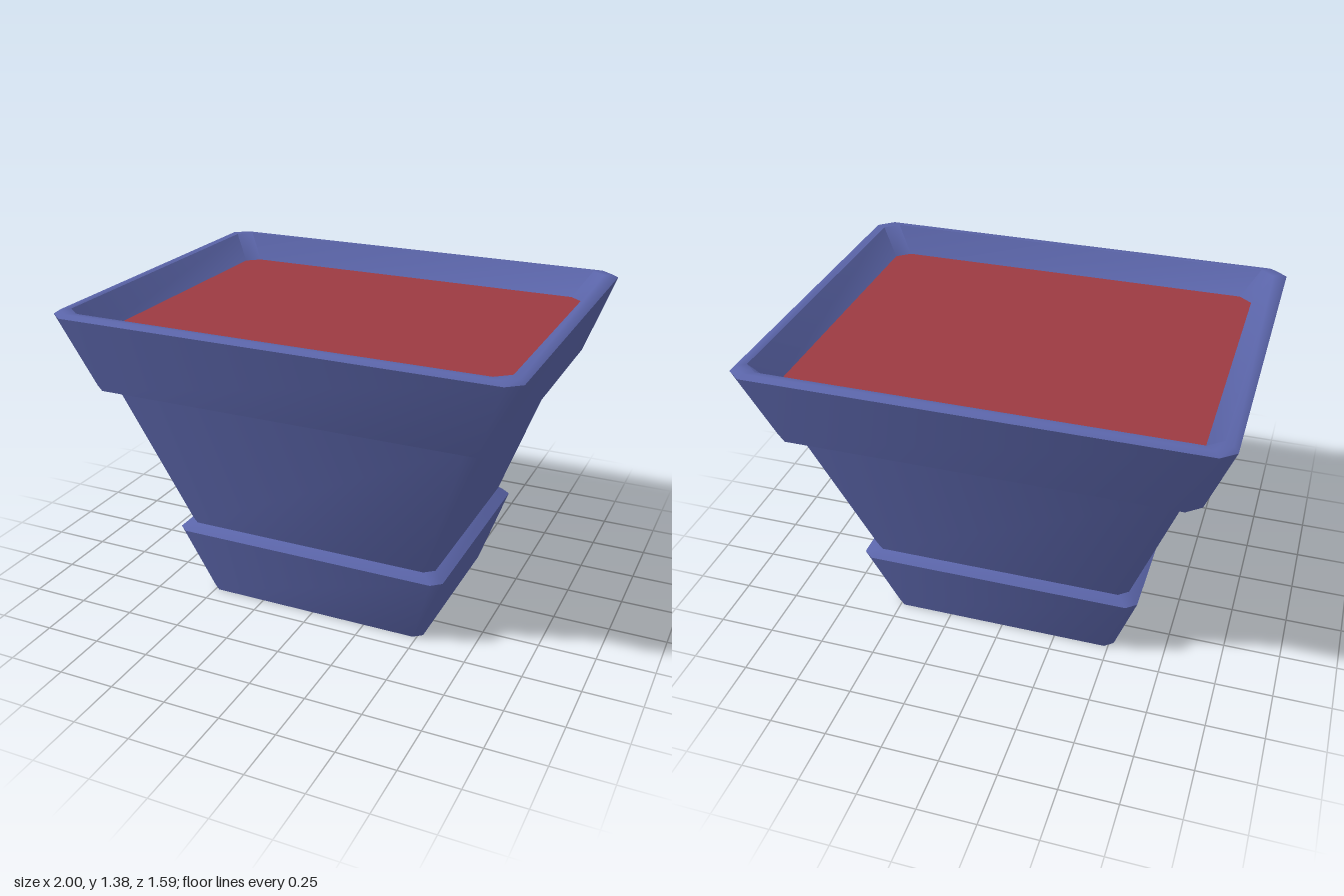
import * as THREE from 'three';
import { toCreasedNormals } from 'three/addons/utils/BufferGeometryUtils.js';

// Rectangle outline with cut corners, half sizes hx and hz, at height y
function ring([hx, hz, y]) {
  const cx = 0.06 * Math.min(1, hx + 0.1), cz = 0.05 * Math.min(1, hx + 0.1);
  return [
    [hx, hz - cz], [hx, -hz + cz], [hx - cx, -hz], [-hx + cx, -hz],
    [-hx, -hz + cz], [-hx, hz - cz], [-hx + cx, hz], [hx - cx, hz],
  ].map(([x, z]) => [x, y, z]);
}

// Skin a list of outlines, outside going up
function loft(sections) {
  const rings = sections.map(ring), pos = [];
  for (let i = 0; i < rings.length - 1; i++) {
    for (let j = 0; j < 8; j++) {
      const k = (j + 1) % 8;
      const a = rings[i][j], b = rings[i][k], c = rings[i + 1][k], d = rings[i + 1][j];
      pos.push(...a, ...b, ...c, ...a, ...c, ...d);
    }
  }
  const g = new THREE.BufferGeometry();
  g.setAttribute('position', new THREE.Float32BufferAttribute(pos, 3));
  return toCreasedNormals(g, THREE.MathUtils.degToRad(55));
}

// Flat panel filling one outline, facing up or down
function panel(section, up) {
  const shape = new THREE.Shape(ring(section).map(([x, , z]) => new THREE.Vector2(x, z)));
  const g = new THREE.ShapeGeometry(shape);
  g.rotateX(up ? -Math.PI / 2 : Math.PI / 2);
  g.translate(0, section[2], 0);
  return g;
}

export function createModel() {
  const group = new THREE.Group();
  const potMat = new THREE.MeshStandardMaterial({ color: 0x5a64a8, side: THREE.DoubleSide });
  const soilMat = new THREE.MeshStandardMaterial({ color: 0x9c3a42 });
  const add = (name, geometry, material) => {
    const mesh = new THREE.Mesh(geometry, material);
    mesh.name = name;
    group.add(mesh);
  };

  // Foot band with a bevelled top and a shallow recess underneath
  add('foot', loft([
    [0.5, 0.39, 0.06], [0.52, 0.41, 0], [0.63, 0.5, 0.33], [0.585, 0.465, 0.365],
  ]), potMat);
  add('footUnderside', panel([0.5, 0.39, 0.06], false), potMat);

  // Tapered wall
  add('wall', loft([[0.585, 0.465, 0.365], [0.82, 0.655, 1.04]]), potMat);

  // Overhanging rim: underside, outer face, bevel, lip, inner slope
  add('rim', loft([
    [0.82, 0.655, 1.04], [0.885, 0.7, 1.04], [1, 0.795, 1.37],
    [0.98, 0.775, 1.385], [0.945, 0.75, 1.385], [0.865, 0.685, 1.27],
  ]), potMat);

  // Soil surface
  add('soil', panel([0.865, 0.685, 1.27], true), soilMat);
  return group;
}
